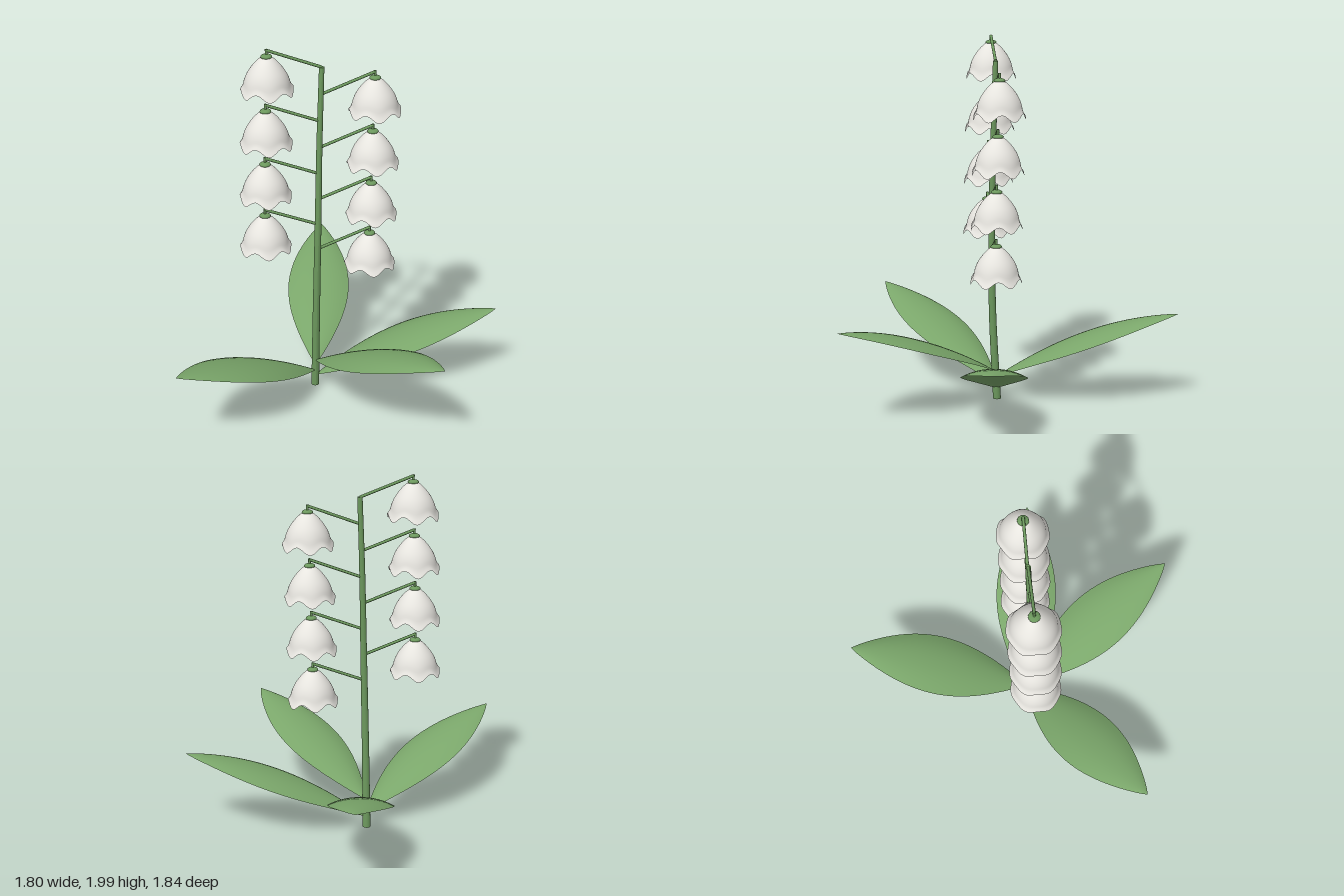
import * as THREE from 'three';

const mat = (name, color, side = THREE.FrontSide) =>
  Object.assign(new THREE.MeshStandardMaterial({ color, side }), { name });

export function createModel() {
  const stemGreen = mat('stemGreen', 0x6c985d);
  const leafGreen = mat('leafGreen', 0x7aa66a, THREE.DoubleSide);
  const petalWhite = mat('petalWhite', 0xf4f2ec, THREE.DoubleSide);
  const stamenGold = mat('stamenGold', 0xd8aa40);

  const model = new THREE.Group();
  model.name = 'bellFlowerPlant';
  const add = (parent, name, geometry, material) => {
    const mesh = new THREE.Mesh(geometry, material);
    mesh.name = name;
    parent.add(mesh);
    return mesh;
  };

  // Stem: gently curved and tapering
  const stemCurve = new THREE.CatmullRomCurve3([
    [-0.095, 0, 0.058], [-0.09, 0.5, 0.082], [-0.08, 1, 0.086],
    [-0.07, 1.45, 0.077], [-0.055, 1.88, 0.066],
  ].map(p => new THREE.Vector3(...p)));
  const stemGeometry = new THREE.CylinderGeometry(0.014, 0.022, 1, 16, 32);
  const stemPos = stemGeometry.attributes.position;
  for (let i = 0; i < stemPos.count; i++) {
    const c = stemCurve.getPoint(stemPos.getY(i) + 0.5);
    stemPos.setXYZ(i, c.x + stemPos.getX(i), c.y, c.z + stemPos.getZ(i));
  }
  stemGeometry.computeVertexNormals();
  add(model, 'stem', stemGeometry, stemGreen);

  // Point on the stem at a given height
  const stemAt = y => {
    let lo = 0, hi = 1;
    for (let i = 0; i < 24; i++) {
      const m = (lo + hi) / 2;
      if (stemCurve.getPoint(m).y < y) lo = m; else hi = m;
    }
    return stemCurve.getPoint(lo);
  };

  // Bell: flared lathe whose rim is drawn into six lobes
  const profile = new THREE.SplineCurve([
    [0.136, -0.215], [0.122, -0.188], [0.113, -0.152], [0.098, -0.117],
    [0.075, -0.083], [0.05, -0.055], [0.026, -0.037], [0.002, -0.031],
  ].map(p => new THREE.Vector2(...p))).getPoints(20);
  const bellGeometry = new THREE.LatheGeometry(profile, 48);
  const bellPos = bellGeometry.attributes.position;
  for (let i = 0; i < bellPos.count; i++) {
    const x = bellPos.getX(i), y = bellPos.getY(i), z = bellPos.getZ(i);
    const k = Math.max(0, (-y - 0.09) / 0.125);
    bellPos.setY(i, y - 0.02 * k * k * Math.cos(6 * Math.atan2(x, z)));
  }
  const capGeometry = new THREE.SphereGeometry(0.03, 16, 10);
  capGeometry.scale(1, 0.45, 1);
  const antherGeometry = new THREE.SphereGeometry(0.022, 16, 12);
  const styleGeometry = new THREE.CylinderGeometry(0.005, 0.005, 0.12, 8);

  // Straight round rod between two points
  const rod = (parent, name, a, b, r) => {
    const d = b.clone().sub(a);
    const mesh = add(parent, name, new THREE.CylinderGeometry(r, r, d.length(), 10), stemGreen);
    mesh.position.copy(a).add(b).multiplyScalar(0.5);
    mesh.quaternion.setFromUnitVectors(new THREE.Vector3(0, 1, 0), d.normalize());
  };

  // Eight flowers, alternating left and right up the stem
  for (let i = 0; i < 8; i++) {
    const side = i % 2 ? -1 : 1;
    const start = stemAt(0.86 + i * 0.1457);
    const end = start.clone().add(new THREE.Vector3(side * 0.282, 0.106, 0));
    rod(model, 'flowerStalk', start, end, 0.008);
    const flower = new THREE.Group();
    flower.name = 'flower';
    flower.position.copy(end);
    model.add(flower);
    rod(flower, 'stalkTip', new THREE.Vector3(0, 0.006, 0), new THREE.Vector3(0, -0.035, 0), 0.007);
    add(flower, 'bellCap', capGeometry, stemGreen).position.y = -0.033;
    add(flower, 'bell', bellGeometry, petalWhite);
    add(flower, 'style', styleGeometry, stamenGold).position.y = -0.1;
    add(flower, 'anther', antherGeometry, stamenGold).position.y = -0.165;
  }

  // Leaf: arched lens-shaped blade with drooping edges, growing along +x
  const leafGeometry = () => {
    const g = new THREE.PlaneGeometry(1, 2, 32, 12);
    const p = g.attributes.position;
    for (let i = 0; i < p.count; i++) {
      const t = p.getX(i) + 0.5, s = -p.getY(i);
      const w = Math.pow(Math.max(0, Math.sin(Math.PI * Math.pow(t, 1.03))), 0.88);
      const y = 0.388 * t + 0.28 * t * (1 - t) - 0.045 * w * Math.pow(Math.abs(s), 2.2);
      p.setXYZ(i, t, y, 0.175 * w * s);
    }
    g.computeVertexNormals();
    return g;
  };
  const blade = leafGeometry();

  // Four leaves in a spiral, each a little higher
  for (let i = 0; i < 4; i++) {
    const leaf = add(model, 'leaf', blade, leafGreen);
    leaf.position.copy(stemAt(0.06 + i * 0.033));
    leaf.rotation.y = -THREE.MathUtils.degToRad(6.2 + i * 137.5);
  }
  return model;
}
